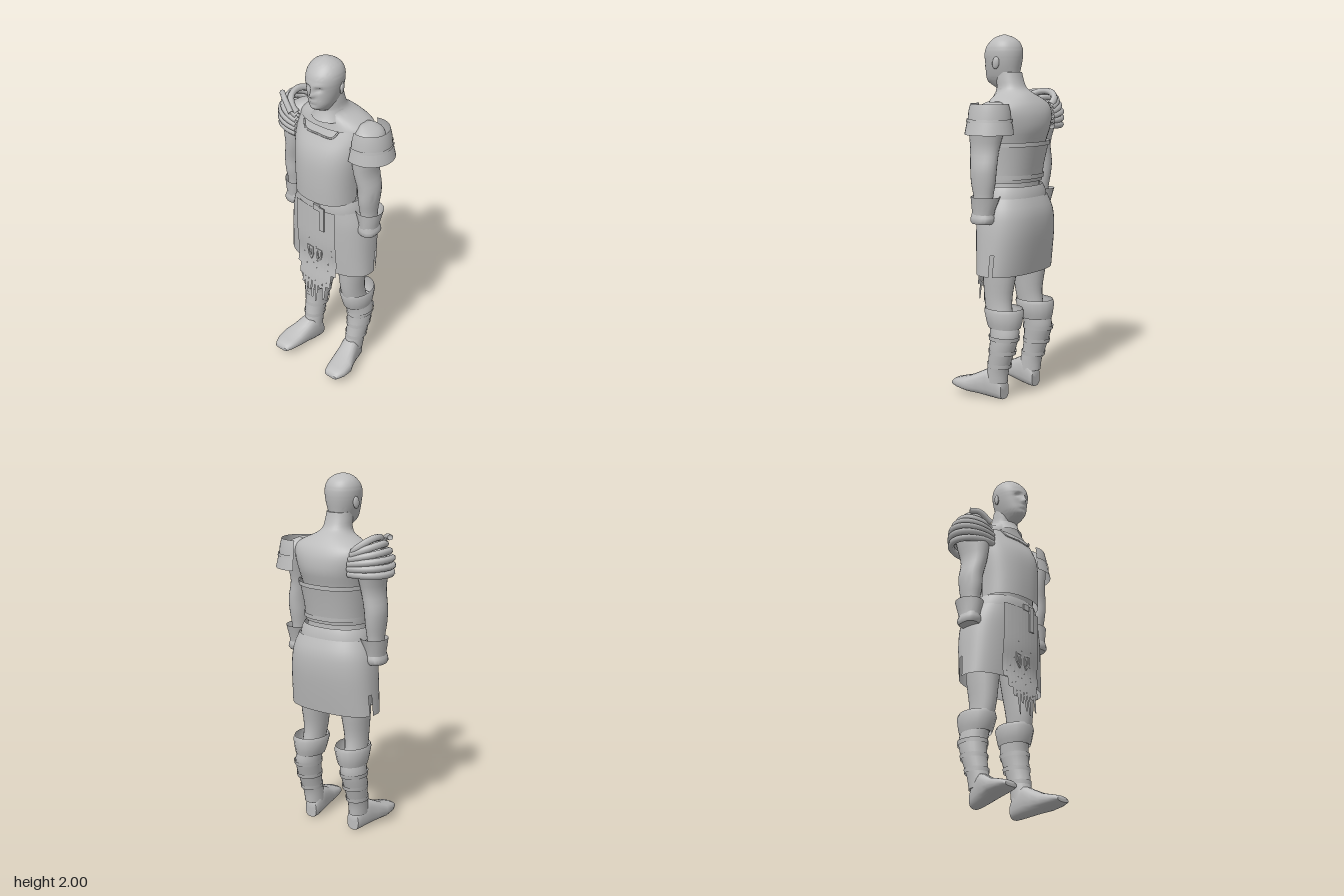
import * as THREE from 'three';
import { toCreasedNormals } from 'three/addons/utils/BufferGeometryUtils.js';

const material = new THREE.MeshStandardMaterial({ color: 0xbcbcbc, side: THREE.DoubleSide });
material.name = 'plain grey';

// Catmull-Rom blend of four section rows
const blend = (a, b, c, d, t) => b.map((_, k) => 0.5 * (2 * b[k] + (c[k] - a[k]) * t
  + (2 * a[k] - 5 * b[k] + 4 * c[k] - d[k]) * t * t + (3 * b[k] - a[k] - 3 * c[k] + d[k]) * t ** 3));

// Skin over stacked superellipses; each section is [y, centreX, halfWidth, zFront, zBack], ascending
function loft(sections, { n = 24, sub = 1, power = 2, arc = [0, 2 * Math.PI], cap = true, crease = 0.8, rule, skip } = {}) {
  const rows = [];
  for (let i = 0; i < sections.length - 1; i++) {
    for (let k = 0; k < sub; k++) {
      rows.push(blend(sections[Math.max(i - 1, 0)], sections[i], sections[i + 1],
        sections[Math.min(i + 2, sections.length - 1)], k / sub));
    }
  }
  rows.push(sections[sections.length - 1]);
  const pos = [], index = [];
  const bend = v => Math.sign(v) * Math.abs(v) ** (2 / power);
  for (const [y, cx, rx, zf, zb] of rows) {
    for (let i = 0; i <= n; i++) {
      const t = arc[0] + (arc[1] - arc[0]) * i / n;
      const v = new THREE.Vector3(cx + rx * bend(Math.cos(t)), y, (zf + zb) / 2 + (zf - zb) / 2 * bend(Math.sin(t)));
      if (rule) rule(v);
      pos.push(v.x, v.y, v.z);
    }
  }
  for (let j = 0; j < rows.length - 1; j++) {
    for (let i = 0; i < n; i++) {
      if (skip && skip(j, i)) continue;
      const a = j * (n + 1) + i, c = a + n + 1;
      index.push(a, c, a + 1, a + 1, c, c + 1);
    }
  }
  if (cap) {
    [0, rows.length - 1].forEach((j, top) => {
      const [y, cx, , zf, zb] = rows[j], m = pos.length / 3;
      pos.push(cx, y, (zf + zb) / 2);
      for (let i = 0; i < n; i++) {
        const a = j * (n + 1) + i;
        index.push(m, ...(top ? [a + 1, a] : [a, a + 1]));
      }
    });
  }
  const g = new THREE.BufferGeometry();
  g.setAttribute('position', new THREE.Float32BufferAttribute(pos, 3));
  g.setIndex(index);
  return toCreasedNormals(g, crease);
}

const tube = (points, r, n = 24, sides = 6) =>
  new THREE.TubeGeometry(new THREE.CatmullRomCurve3(points.map(p => new THREE.Vector3(...p))), n, r, sides);

export function createModel() {
  const model = new THREE.Group();
  const add = (name, geometry, parent = model) => {
    const mesh = new THREE.Mesh(geometry, material);
    mesh.name = name;
    parent.add(mesh);
    return mesh;
  };

  // Head, with eye sockets, brow, nose, lips and ears
  const bump = (v, x, y, sx, sy) => Math.exp(-(((Math.abs(v.x) - x) / sx) ** 2) - ((v.y - y) / sy) ** 2);
  add('head', loft([
    [1.715, 0, 0.035, 0.075, -0.05], [1.742, 0, 0.05, 0.122, -0.055], [1.77, 0, 0.066, 0.136, -0.06],
    [1.81, 0, 0.08, 0.136, -0.067], [1.85, 0, 0.09, 0.136, -0.074], [1.89, 0, 0.096, 0.138, -0.078],
    [1.93, 0, 0.094, 0.127, -0.074], [1.965, 0, 0.077, 0.1, -0.055], [1.988, 0, 0.047, 0.07, -0.02],
    [2, 0, 0.008, 0.035, 0.015],
  ], { n: 48, sub: 4, power: 2.1, crease: 1.2, rule: v => {
    if (v.z < 0.05) return;
    v.z += -0.016 * bump(v, 0.034, 1.863, 0.016, 0.012) + 0.006 * bump(v, 0.03, 1.885, 0.025, 0.008)
      + 0.015 * bump(v, 0, 1.85, 0.011, 0.025) + 0.02 * bump(v, 0, 1.828, 0.015, 0.012)
      + 0.006 * bump(v, 0, 1.792, 0.022, 0.008) - 0.005 * bump(v, 0, 1.774, 0.025, 0.006)
      + 0.004 * bump(v, 0, 1.752, 0.02, 0.01);
  } }));
  for (const s of [1, -1]) {
    const ear = add('ear', new THREE.SphereGeometry(1, 12, 8));
    ear.scale.set(0.01, 0.034, 0.02);
    ear.position.set(s * 0.094, 1.85, 0.012);
    ear.rotation.set(-0.15, s * 0.35, 0);
  }

  // Neck, shoulders and trunk
  add('torso', loft([
    [1.12, 0, 0.18, 0.1, -0.165], [1.2, 0, 0.17, 0.12, -0.16], [1.3, 0, 0.172, 0.13, -0.17],
    [1.42, 0, 0.19, 0.135, -0.197], [1.5, 0, 0.205, 0.115, -0.22], [1.57, 0, 0.22, 0.08, -0.218],
    [1.62, 0, 0.218, 0.062, -0.2], [1.655, 0, 0.17, 0.055, -0.175], [1.685, 0, 0.105, 0.052, -0.145],
    [1.715, 0, 0.078, 0.052, -0.105], [1.76, 0, 0.072, 0.06, -0.085], [1.8, 0, 0.068, 0.065, -0.075],
  ], { n: 36, sub: 3, power: 2.25, crease: 1.2 }));
  add('collar', loft([[1.655, 0, 0.105, 0.088, -0.14], [1.69, 0, 0.085, 0.066, -0.125], [1.715, 0, 0.08, 0.06, -0.11]],
    { arc: [0.1, Math.PI - 0.1], cap: false }));

  // Breastplate with its rim, and the back band
  add('breastplate', loft([
    [1.19, 0, 0.183, 0.155, -0.165], [1.3, 0, 0.186, 0.158, -0.175], [1.42, 0, 0.198, 0.153, -0.2],
    [1.5, 0, 0.21, 0.134, -0.222], [1.57, 0, 0.215, 0.098, -0.21], [1.62, 0, 0.19, 0.075, -0.17],
  ], { n: 28, sub: 3, power: 2.35, arc: [0, Math.PI], cap: false }));
  add('backBand', loft([
    [1.21, 0, 0.183, 0.155, -0.172], [1.3, 0, 0.186, 0.158, -0.186], [1.42, 0, 0.2, 0.153, -0.214],
  ], { n: 28, power: 2.35, arc: [Math.PI, 2 * Math.PI], cap: false }));
  for (const [y, rx, z] of [[1.42, 0.2, -0.214], [1.24, 0.184, -0.177]]) {
    add('backBandRim', loft([[y - 0.012, 0, rx + 0.003, 0.15, z - 0.006], [y + 0.012, 0, rx + 0.004, 0.15, z - 0.007]],
      { n: 28, power: 2.35, arc: [Math.PI, 2 * Math.PI], cap: false }));
  }
  add('neckline', tube([[-0.115, 1.62, 0.066], [-0.09, 1.585, 0.086], [0, 1.582, 0.094], [0.09, 1.585, 0.086], [0.115, 1.62, 0.066]], 0.005));

  // Belt and hanging strap
  add('belt', loft([[1.125, 0, 0.21, 0.126, -0.19], [1.16, 0, 0.204, 0.128, -0.186], [1.19, 0, 0.19, 0.122, -0.174]],
    { n: 36, power: 2.3, cap: false }));
  add('strap', new THREE.BoxGeometry(0.032, 0.15, 0.008)).position.set(0.058, 1.08, 0.136);
  add('buckle', new THREE.BoxGeometry(0.04, 0.035, 0.012)).position.set(0.02, 1.145, 0.131);

  // Skirt with a slit at the lower edge on each side
  add('skirt', loft([
    [0.71, 0, 0.27, 0.095, -0.185], [0.83, 0, 0.264, 0.105, -0.205], [0.95, 0, 0.257, 0.113, -0.22],
    [1.05, 0, 0.243, 0.118, -0.217], [1.13, 0, 0.214, 0.118, -0.19],
  ], { n: 48, sub: 3, power: 2.4, cap: false, skip: (j, i) => j < 3 && (i === 25 || i === 46) }));

  // Ragged loincloth made of strips
  const clothZ = (x, y) => 0.132 - x * x - 0.012 * Math.exp(-(((y - 0.78) / 0.08) ** 2))
    + 0.1 * Math.max(0, 0.72 - y);
  const ends = [0.7, 0.64, 0.59, 0.49, 0.56, 0.52, 0.5, 0.6, 0.53, 0.62, 0.7];
  const cloth = new THREE.Group();
  cloth.name = 'loincloth';
  model.add(cloth);
  ends.forEach((end, i) => {
    const w = 0.27 / ends.length, x0 = -0.135 + i * w;
    const g = new THREE.PlaneGeometry(1, 1, 1, 14), p = g.attributes.position;
    for (let k = 0; k < p.count; k++) {
      const t = 0.5 - p.getY(k), y = 1.135 + (end - 1.135) * t;
      const narrow = y < 0.63 ? 1 - 0.7 * (0.63 - y) / 0.14 : 1;
      const x = x0 + w / 2 + p.getX(k) * w * narrow;
      p.setXYZ(k, x, y, clothZ(x, y));
    }
    g.computeVertexNormals();
    add('clothStrip', g, cloth);
  });

  // Pair of drop-shaped ornaments on the cloth
  for (const s of [1, -1]) {
    const drop = new THREE.Shape([[0.01, 0.86], [0.052, 0.86], [0.048, 0.805], [0.024, 0.77], [0.012, 0.8]]
      .map(([x, y]) => new THREE.Vector2(s * x, y)));
    drop.holes.push(new THREE.Path([[0.02, 0.85], [0.042, 0.85], [0.038, 0.81], [0.025, 0.79]]
      .map(([x, y]) => new THREE.Vector2(s * x, y))));
    add('clothOrnament', new THREE.ExtrudeGeometry(drop, { depth: 0.008, bevelEnabled: false })).position.z = 0.121;
  }

  for (const s of [1, -1]) {
    const side = rows => rows.map(([y, cx, ...rest]) => [y, s * cx, ...rest]);

    // Arm, cuff and fist
    add('arm', loft(side([
      [1.06, 0.258, 0.04, 0.03, -0.08], [1.14, 0.254, 0.044, 0.03, -0.085], [1.22, 0.254, 0.053, 0.045, -0.1],
      [1.3, 0.253, 0.057, 0.05, -0.108], [1.4, 0.235, 0.058, 0.065, -0.112], [1.5, 0.232, 0.072, 0.072, -0.14],
      [1.57, 0.23, 0.077, 0.058, -0.155], [1.62, 0.22, 0.062, 0.025, -0.14], [1.648, 0.2, 0.025, -0.02, -0.1],
    ]), { sub: 3, crease: 1.2 }));
    add('cuff', loft(side([
      [1.05, 0.257, 0.053, 0.035, -0.095], [1.075, 0.257, 0.055, 0.037, -0.1], [1.145, 0.25, 0.076, 0.043, -0.122],
    ]), { n: 14, cap: false }));
    add('hand', loft(side([
      [1, 0.26, 0.047, 0.03, -0.085], [1.015, 0.26, 0.056, 0.038, -0.095], [1.035, 0.258, 0.055, 0.038, -0.095], [1.07, 0.257, 0.042, 0.03, -0.08],
    ]), { n: 16, power: 2.6 }));

    // Leg with knee guard and bound boot
    add('leg', loft(side([
      [0.42, 0.15, 0.06, 0.005, -0.15], [0.5, 0.145, 0.058, 0.03, -0.13], [0.58, 0.14, 0.063, 0.045, -0.125],
      [0.7, 0.137, 0.075, 0.055, -0.145], [0.85, 0.13, 0.09, 0.065, -0.165],
    ]), { sub: 3, crease: 1.2 }));
    add('boot', loft(side([
      [0.1, 0.155, 0.052, 0.03, -0.105], [0.16, 0.157, 0.054, 0.015, -0.112], [0.22, 0.16, 0.058, 0.003, -0.132],
      [0.3, 0.16, 0.066, -0.008, -0.16], [0.37, 0.156, 0.07, -0.01, -0.18], [0.43, 0.15, 0.068, 0, -0.175],
    ]), { sub: 3, crease: 1.2 }));
    add('kneeGuard', loft(side([
      [0.415, 0.147, 0.077, 0.01, -0.183], [0.44, 0.146, 0.084, 0.02, -0.19], [0.505, 0.143, 0.097, 0.036, -0.2],
      [0.525, 0.143, 0.09, 0.032, -0.192],
    ]), { n: 16, cap: false }));
    for (const [y, rx, zf, zb] of [[0.2, 0.06, 0.01, -0.13], [0.28, 0.068, -0.002, -0.16], [0.36, 0.074, -0.004, -0.182]]) {
      add('bootBinding', loft(side([[y - 0.012, 0.159, rx, zf, zb], [y + 0.012, 0.159, rx + 0.002, zf, zb - 0.005]]), { cap: false }));
    }

    // Foot, skinned from heel to toe, then a sole line
    const foot = loft(side([
      [-0.088, 0.148, 0.038, -0.005, -0.1], [-0.06, 0.15, 0.048, -0.005, -0.15], [0, 0.16, 0.056, -0.012, -0.175],
      [0.05, 0.172, 0.06, -0.02, -0.148], [0.11, 0.188, 0.07, -0.03, -0.118], [0.17, 0.192, 0.064, -0.04, -0.1],
      [0.21, 0.191, 0.05, -0.047, -0.088], [0.223, 0.191, 0.042, -0.052, -0.075],
    ]), { n: 20, power: 2.8 });
    add('foot', foot.rotateX(Math.PI / 2));
  }

  // Left shoulder guard: two flared open bands
  const guard = [-1.9, 1.9];
  add('upperShoulderBand', loft([
    [1.54, 0.23, 0.118, 0.064, -0.174], [1.6, 0.23, 0.112, 0.06, -0.17], [1.64, 0.23, 0.102, 0.05, -0.16],
  ], { n: 22, arc: guard, cap: false }));
  add('lowerShoulderBand', loft([[1.478, 0.23, 0.137, 0.08, -0.19], [1.555, 0.23, 0.118, 0.066, -0.176]],
    { n: 22, arc: guard, cap: false }));
  add('shoulderBandRim', loft([[1.545, 0.23, 0.125, 0.072, -0.182], [1.56, 0.23, 0.122, 0.07, -0.18]],
    { n: 22, arc: guard, cap: false }));

  // Right shoulder guard: thick cords wrapped over the shoulder
  const cords = [[1.505, 0.148, 0.118], [1.542, 0.153, 0.12], [1.578, 0.15, 0.118], [1.612, 0.132, 0.112], [1.645, 0.105, 0.105], [1.672, 0.07, 0.1]];
  cords.forEach(([y, rx, rz], k) => {
    const points = [];
    for (let i = 0; i <= 10; i++) {
      const t = (-0.56 + 1.12 * i / 10) * Math.PI;
      points.push([-0.2 - rx * Math.cos(t), y + 0.012 * k * (Math.cos(t) - 0.7), -0.055 + rz * Math.sin(t)]);
    }
    add('shoulderCord', tube(points, 0.019, 28, 7));
  });
  add('cordKnot', tube([[-0.31, 1.685, 0.015], [-0.265, 1.68, 0.05], [-0.2, 1.625, 0.075]], 0.016, 12, 7));

  return model;
}
